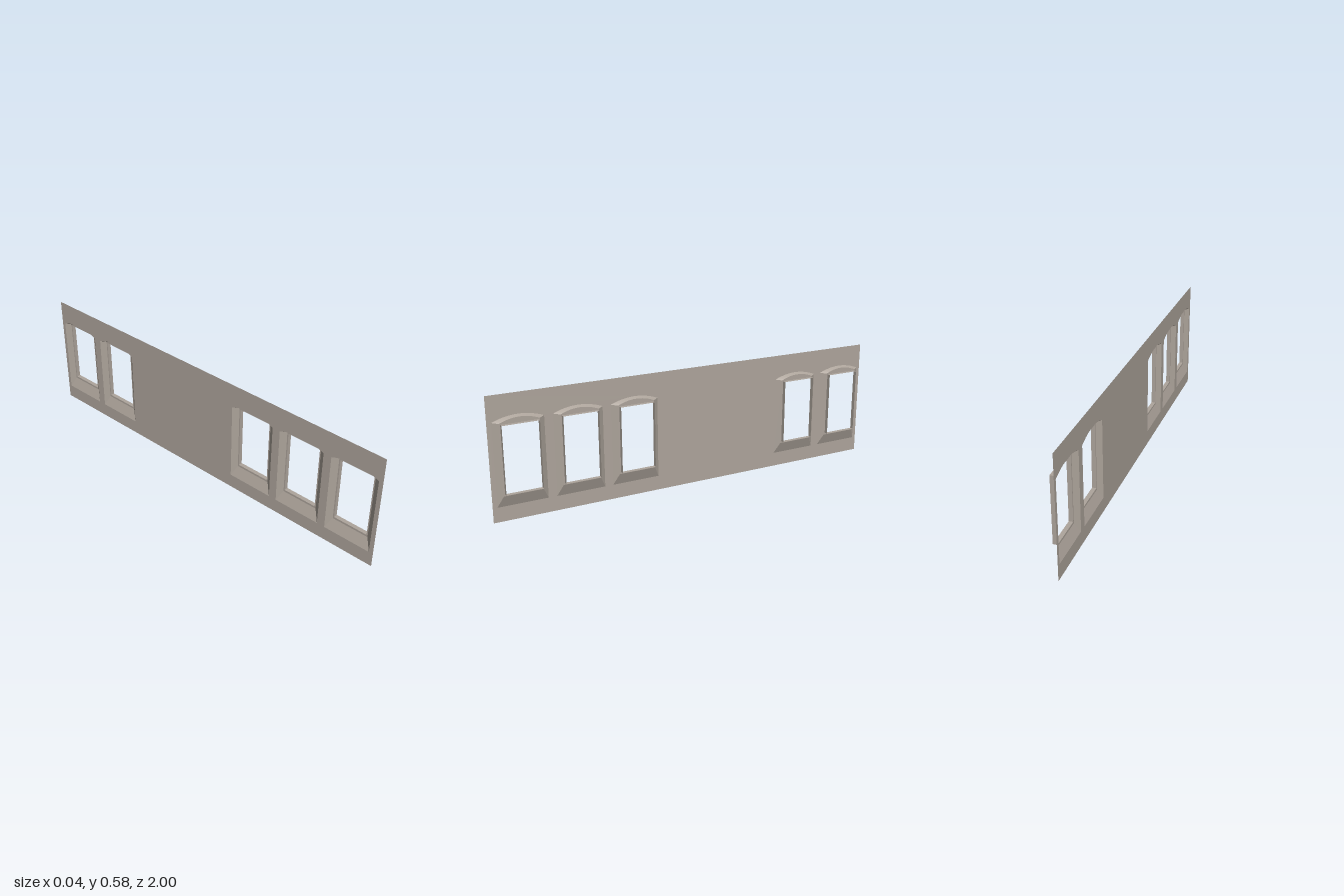
import * as THREE from 'three';

const stone = new THREE.MeshStandardMaterial({ color: 0xaea59c, side: THREE.DoubleSide });
stone.name = 'warm grey stone';

const HEIGHT = 0.58;
const WALL_X = -0.02, RECESS_X = 0, FRAME_X = 0.02;
const WINDOWS = [0.861, 0.585, 0.309, -0.588, -0.864];
const ARCH_STEPS = 12;

// Outline in (z, y): flat sill, straight jambs and a shallow arched head
function outline(half, sill, spring, rise, centre = 0) {
  const pts = [new THREE.Vector2(centre - half, sill), new THREE.Vector2(centre + half, sill)];
  for (let i = 0; i <= ARCH_STEPS; i++) {
    const u = 1 - (2 * i) / ARCH_STEPS;
    pts.push(new THREE.Vector2(centre + half * u, spring + rise * (1 - u * u)));
  }
  return pts;
}

const outer = (z = 0) => outline(0.118, 0.07, 0.459, 0.024, z);
const inner = () => outline(0.091, 0.125, 0.456, 0.02);
const opening = [[-0.085, 0.135], [0.085, 0.135], [0.085, 0.451], [-0.085, 0.451]]
  .map(([z, y]) => new THREE.Vector2(z, y));

// Flat-shaded band joining two outlines at different depths
function band(a, xa, b, xb) {
  const pos = [];
  a.forEach((p, i) => {
    const j = (i + 1) % a.length;
    const A = [xa, p.y, p.x], B = [xa, a[j].y, a[j].x];
    const C = [xb, b[j].y, b[j].x], D = [xb, b[i].y, b[i].x];
    pos.push(...A, ...C, ...B, ...A, ...D, ...C);
  });
  const geo = new THREE.BufferGeometry();
  geo.setAttribute('position', new THREE.Float32BufferAttribute(pos, 3));
  geo.computeVertexNormals();
  return geo;
}

// Flat sheet facing along x, with holes
function sheet(points, holes, x) {
  const shape = new THREE.Shape(points);
  holes.forEach((h) => shape.holes.push(new THREE.Path(h)));
  return new THREE.ShapeGeometry(shape).rotateY(-Math.PI / 2).translate(x, 0, 0);
}

function add(parent, name, geo) {
  const mesh = new THREE.Mesh(geo, stone);
  mesh.name = name;
  parent.add(mesh);
}

export function createModel() {
  const group = new THREE.Group();
  group.name = 'windowWall';

  // Thin wall pierced by the arched openings
  const rect = [[-1, 0], [1, 0], [1, HEIGHT], [-1, HEIGHT]].map(([z, y]) => new THREE.Vector2(z, y));
  add(group, 'wall', sheet(rect, WINDOWS.map((z) => outer(z)), WALL_X));

  // Splayed recess, backing plate and rectangular frame of each window
  const splay = band(outer(), WALL_X, inner(), RECESS_X);
  const plate = sheet(inner(), [opening], RECESS_X);
  const frame = band(opening, RECESS_X, opening, FRAME_X);
  for (const z of WINDOWS) {
    const win = new THREE.Group();
    win.name = 'window';
    win.position.z = z;
    add(win, 'splayedReveal', splay);
    add(win, 'recessPlate', plate);
    add(win, 'windowFrame', frame);
    group.add(win);
  }
  return group;
}
